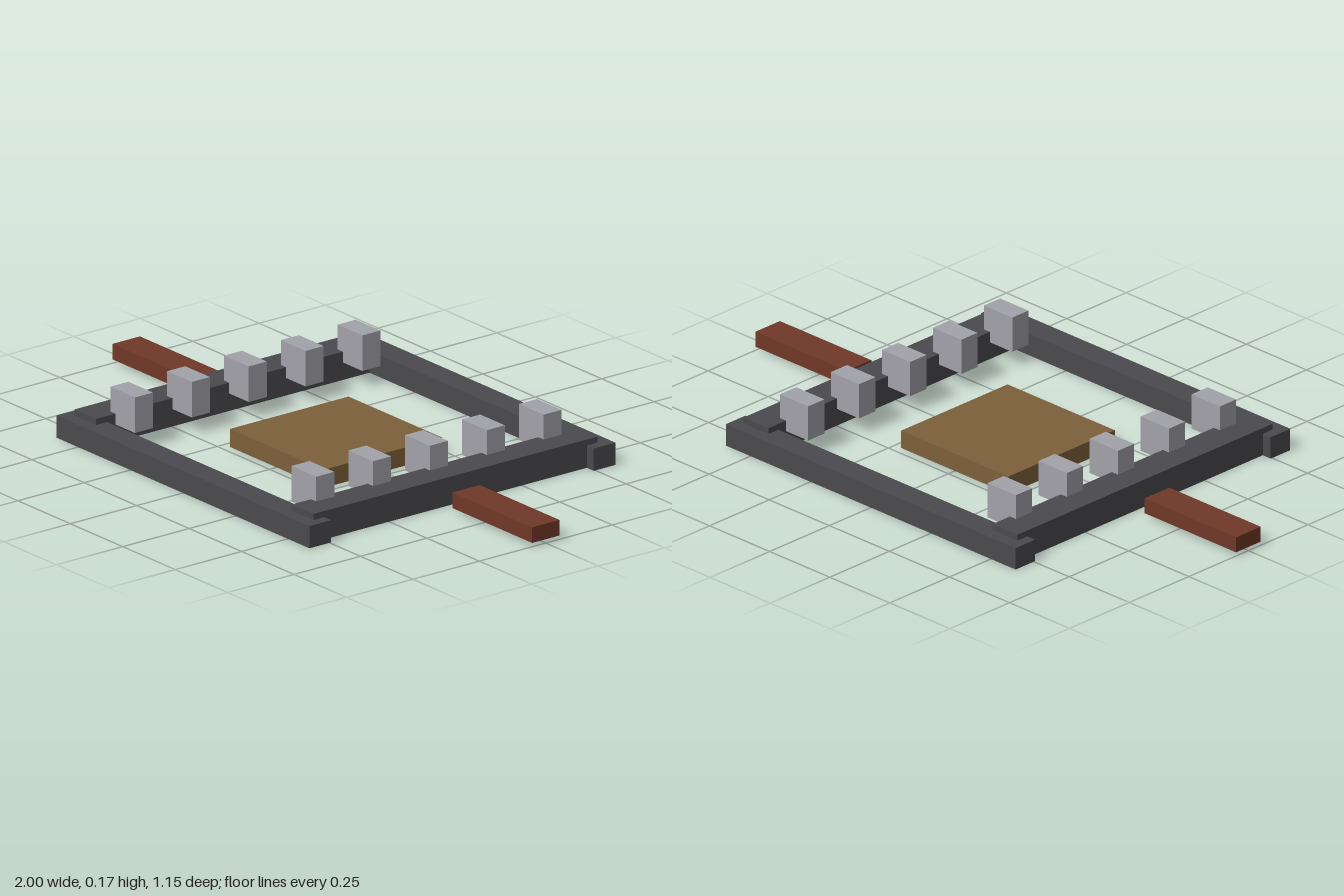
import * as THREE from 'three';

const mat = (name, color) => {
  const m = new THREE.MeshStandardMaterial({ color });
  m.name = name;
  return m;
};

export function createModel() {
  const frameGrey = mat('dark frame grey', 0x4a4a4e);
  const blockGrey = mat('light block grey', 0xa2a2a9);
  const tan = mat('plate brown', 0x7d603a);
  const red = mat('bar red brown', 0x703828);

  const model = new THREE.Group();
  model.name = 'framedPlatform';

  // Box given by its size, centre x and z, and the height of its underside
  const box = (name, material, w, h, d, x, bottom, z) => {
    const mesh = new THREE.Mesh(new THREE.BoxGeometry(w, h, d), material);
    mesh.name = name;
    mesh.position.set(x, bottom + h / 2, z);
    model.add(mesh);
  };

  // Central plate
  box('centrePlate', tan, 0.446, 0.057, 0.446, 0, 0, 0);

  for (const s of [-1, 1]) {
    const side = s > 0 ? 'left' : 'right';
    // Lower beams at front and back, taller rails at the sides
    box(s > 0 ? 'frontBeam' : 'backBeam', frameGrey, 1.206, 0.07, 0.082, 0, 0, s * 0.535);
    box(side + 'Rail', frameGrey, 0.104, 0.089, 1.07, s * 0.518, 0, 0);
    // Bar lying outside each rail
    box(side + 'Bar', red, 0.38, 0.049, 0.103, s * 0.81, 0.012, 0);
    // Row of blocks overhanging the inner edge of the rail
    for (let i = -2; i <= 2; i++) {
      box(side + 'Block' + (i + 3), blockGrey, 0.118, 0.112, 0.068, s * 0.432, 0.055, i * 0.214);
    }
  }
  return model;
}
